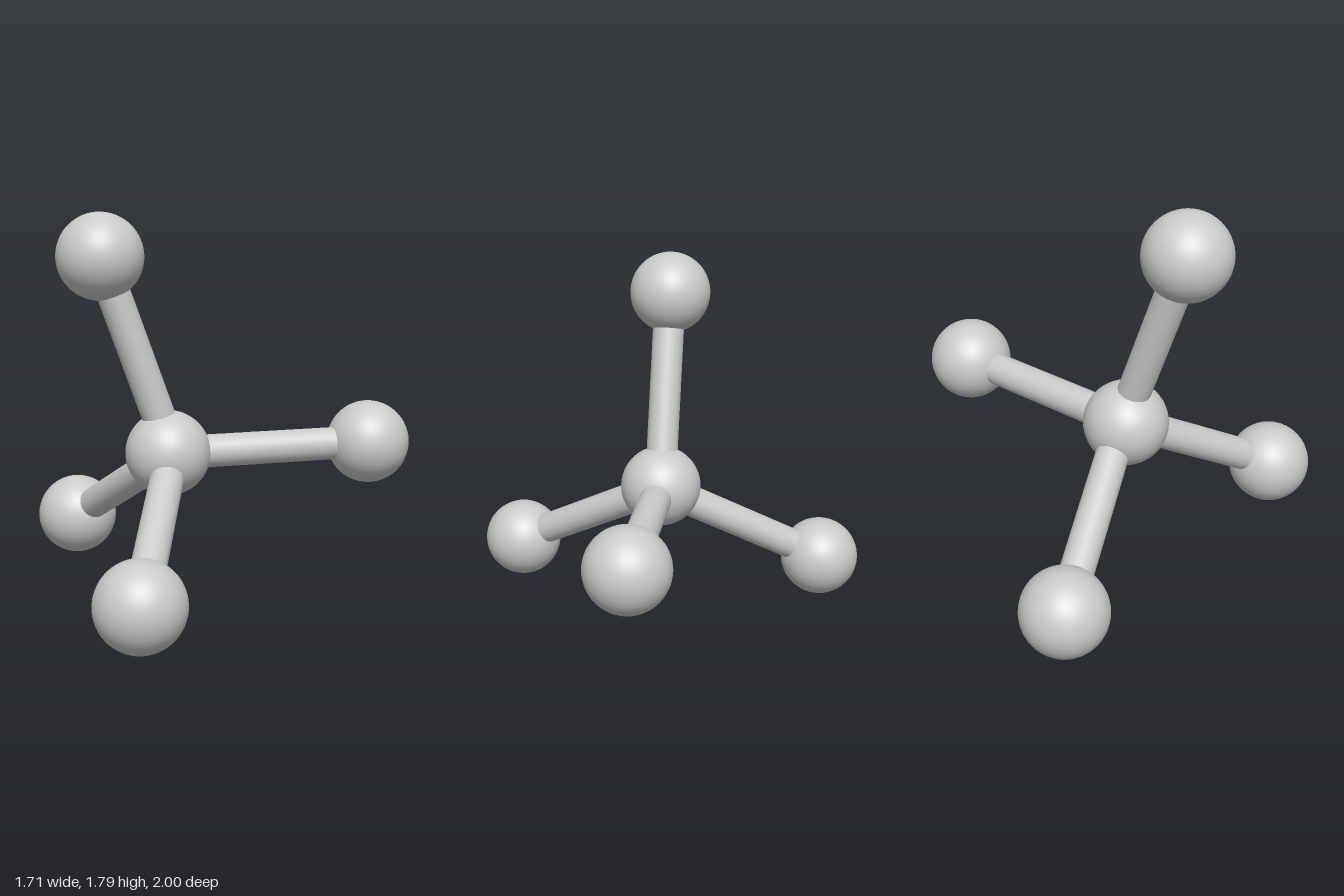
import * as THREE from 'three';

const BALL_RADIUS = 0.2;
const ROD_RADIUS = 0.078;

export function createModel() {
  const model = new THREE.Group();
  model.name = 'tetrahedralBallAndStick';
  const material = new THREE.MeshStandardMaterial({ color: 0xcccccc });
  const ballGeometry = new THREE.SphereGeometry(BALL_RADIUS, 48, 32);

  function addBall(name, position) {
    const ball = new THREE.Mesh(ballGeometry, material);
    ball.name = name;
    ball.position.copy(position);
    model.add(ball);
  }

  // Rod from the hub to an outer ball, its ends buried inside both
  function addRod(name, from, to) {
    const axis = to.clone().sub(from);
    const rod = new THREE.Mesh(
      new THREE.CylinderGeometry(ROD_RADIUS, ROD_RADIUS, axis.length(), 32, 1, true), material);
    rod.name = name;
    rod.position.copy(from).addScaledVector(axis, 0.5);
    rod.quaternion.setFromUnitVectors(new THREE.Vector3(0, 1, 0), axis.normalize());
    model.add(rod);
  }

  // Hub ball, set very slightly off the meeting point of the rods
  const joint = new THREE.Vector3(-0.327, 0.664, 0);
  addBall('centreBall', new THREE.Vector3(-0.347, 0.667, 0));

  // Four outer balls at the corners of a tetrahedron
  const corners = {
    left: new THREE.Vector3(0.653, 0.667, 0),
    top: new THREE.Vector3(-0.653, 1.587, 0),
    front: new THREE.Vector3(-0.653, 0.2, 0.8),
    back: new THREE.Vector3(-0.653, 0.2, -0.8),
  };
  for (const [side, corner] of Object.entries(corners)) {
    addBall(side + 'Ball', corner);
    addRod(side + 'Rod', joint, corner);
  }
  return model;
}
